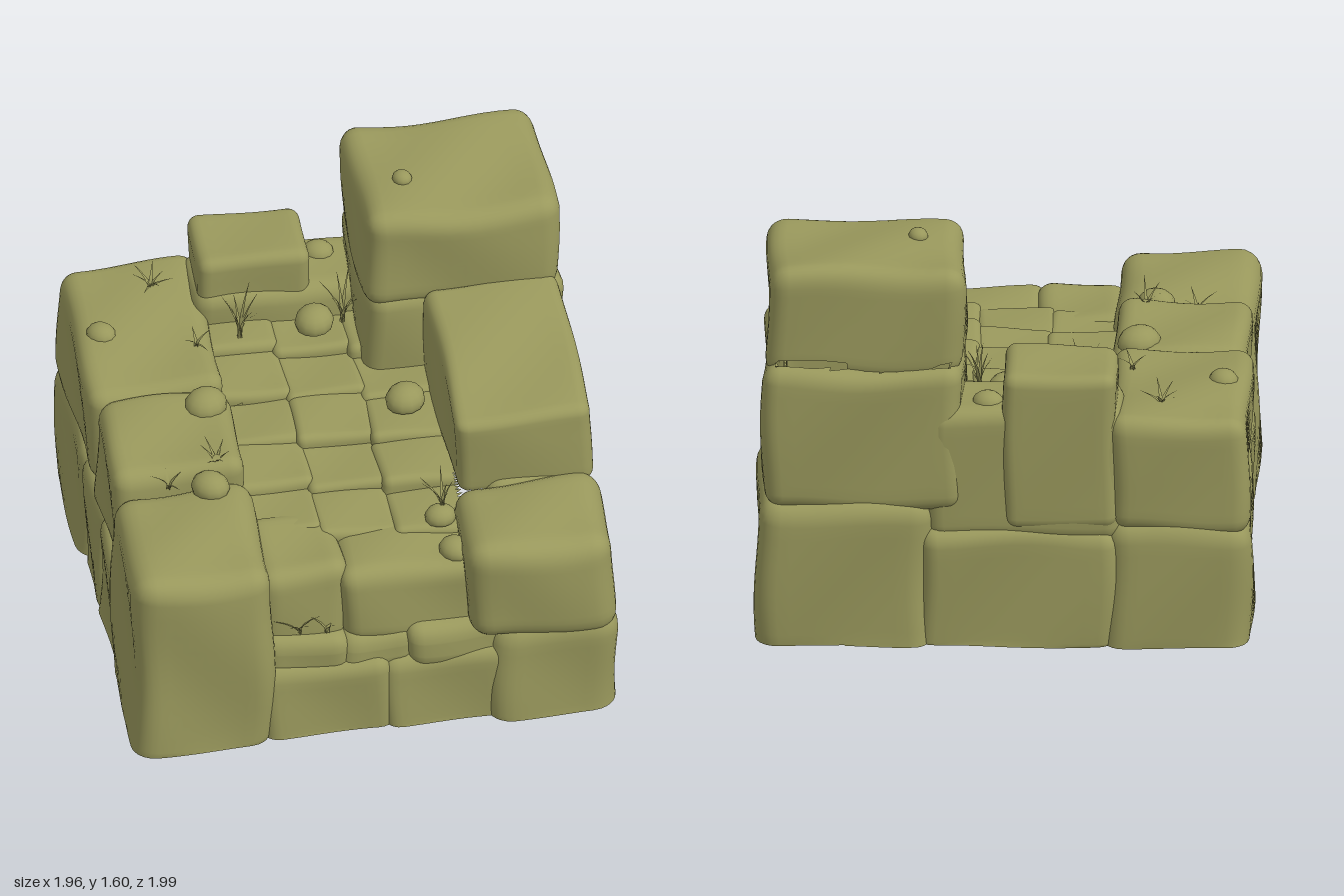
import * as THREE from 'three';
import { mergeVertices } from 'three/addons/utils/BufferGeometryUtils.js';

export function createModel() {
  const root = new THREE.Group();
  root.name = 'stoneTerrace';
  const stone = new THREE.MeshStandardMaterial({ color: 0x99985c, side: THREE.DoubleSide });
  stone.name = 'mossy stone';

  let seed = 7;
  const rand = () => {
    seed = (seed * 16807) % 2147483647;
    return seed / 2147483647;
  };
  const add = (parent, geo, name) => {
    const mesh = new THREE.Mesh(geo, stone);
    mesh.name = name;
    parent.add(mesh);
    return mesh;
  };
  const group = (name) => {
    const g = new THREE.Group();
    g.name = name;
    root.add(g);
    return g;
  };

  // Paving rows: height and front edge, climbing to the back
  const rows = [0, 1, 2, 3, 4].map((i) => ({ top: 0.74 + i * 0.034, front: 0.6 - i * 0.255 }));

  // Hollow inside of the shell: stone surfaces within these boxes are left out
  const hollow = [
    [[-0.9, 0.9], 0.32, [-0.9, 0.88]],
    [[-0.92, -0.47], 0.77, [-0.92, 0.93]],
    [[-0.9, -0.48], 0.87, [-0.92, 0.26]],
    [[-0.9, -0.48], 0.9, [-0.92, -0.2]],
    [[-0.5, 0.47], 0.38, [-0.9, 0.86]],
    [[-0.5, 0.45], 0.66, [-0.9, 0.8]],
    ...rows.map(({ top, front }) => [[-0.5, 0.45], top - 0.05, [-0.9, front - 0.02]]),
    [[0.46, 0.88], 0.77, [0.4, 0.91]],
    [[0.4, 0.84], 0.78, [-0.4, 0.6]],
    [[0.44, 0.87], 1.08, [-0.4, 0.46]],
    [[0.21, 0.89], 1.2, [-0.9, -0.33]],
    [[0.21, 0.87], 1.5, [-0.84, -0.33]],
    [[-0.39, -0.05], 1.1, [-0.91, -0.67]],
    [[-0.42, 0.25], 0.95, [-0.9, -0.66]],
  ].map(([x, top, z]) => new THREE.Box3(
    new THREE.Vector3(x[0], -0.2, z[0]), new THREE.Vector3(x[1], top, z[1])));

  function openInside(geo) {
    const pos = geo.attributes.position;
    const idx = geo.index.array;
    const kept = [];
    const a = new THREE.Vector3(), b = new THREE.Vector3();
    for (let i = 0; i < idx.length; i += 3) {
      a.set(0, 0, 0);
      for (let k = 0; k < 3; k++) a.add(b.fromBufferAttribute(pos, idx[i + k]));
      a.divideScalar(3);
      if (a.y > 0.001 && !hollow.some((h) => h.containsPoint(a))) kept.push(idx[i], idx[i + 1], idx[i + 2]);
    }
    geo.setIndex(kept);
  }

  // Worn block: rounded box with soft dents; slope raises the top towards the back.
  // Blocks that start below the ground are cut off flat at y = 0
  function block(parent, name, [x0, x1], [y0, y1], [z0, z1], { r = 0.07, slope = 0, wear = 0.01 } = {}) {
    const half = new THREE.Vector3(x1 - x0, y1 - y0, z1 - z0).multiplyScalar(0.5);
    const mid = new THREE.Vector3(x0 + x1, y0 + y1, z0 + z1).multiplyScalar(0.5);
    const rad = Math.min(r, half.x * 0.8, half.y * 0.8, half.z * 0.8);
    const box = new THREE.BoxGeometry(1, 1, 1, 16, 16, 16);
    box.deleteAttribute('normal');
    box.deleteAttribute('uv');
    const geo = mergeVertices(box);
    const pos = geo.attributes.position;
    const p = new THREE.Vector3(), inner = new THREE.Vector3();
    const lim = half.clone().subScalar(rad);
    const low = lim.clone().negate();
    const ph = [rand() * 6, rand() * 6, rand() * 6];
    // three rings of vertices go to each rounded edge
    const warp = (v, h) => {
      const k = Math.round(Math.abs(v) * 16);
      return Math.sign(v) * (k <= 5 ? (k / 5) * (h - rad) : h - rad + (rad * (k - 5)) / 3);
    };
    for (let i = 0; i < pos.count; i++) {
      p.fromBufferAttribute(pos, i);
      p.set(warp(p.x, half.x), warp(p.y, half.y), warp(p.z, half.z));
      inner.copy(p).clamp(low, lim);
      p.sub(inner).normalize().multiplyScalar(rad).add(inner);
      const tilt = slope * (-p.z / half.z) * 0.5 * Math.max(0, p.y / half.y);
      p.x += wear * Math.sin(p.y * 8 + p.z * 7 + ph[0]);
      p.z += wear * Math.sin(p.x * 8 + p.y * 7 + ph[1]);
      p.y += tilt + wear * Math.sin(p.x * 9 + p.z * 8 + ph[2]);
      p.add(mid);
      pos.setXYZ(i, p.x, Math.max(0, p.y), p.z);
    }
    geo.computeVertexNormals();
    openInside(geo);
    return add(parent, geo, name);
  }

  // Lower course
  const base = group('lowerWall');
  [
    ['frontLeftColumn', [-0.975, -0.42], 0.83, [0.32, 0.985], { r: 0.09 }],
    ['frontBase', [-0.47, 0.06], 0.33, [0.5, 0.95]],
    ['frontBase', [0.02, 0.54], 0.33, [0.5, 0.95]],
    ['frontCorner', [0.44, 0.955], 0.45, [0.34, 0.985], { r: 0.1 }],
    ['rightBase', [0.5, 0.94], 0.44, [-0.1, 0.38]],
    ['rightBase', [0.5, 0.93], 0.46, [-0.32, -0.06]],
    ['backRightCorner', [0.28, 0.97], 0.61, [-0.985, -0.27], { r: 0.09 }],
    ['backBase', [-0.45, 0.33], 0.5, [-0.975, -0.6]],
    ['backLeftCorner', [-0.975, -0.4], 0.53, [-0.98, -0.33], { r: 0.09 }],
    ['leftBase', [-0.96, -0.5], 0.5, [-0.37, 0.02]],
    ['leftBase', [-0.96, -0.5], 0.47, [-0.03, 0.38]],
  ].forEach(([n, x, top, z, o]) => block(base, n, x, [-0.15, top], z, o));

  // Middle and upper courses
  const upper = group('upperStones');
  [
    ['frontRightStone', [0.355, 0.94], [0.37, 0.83], [0.48, 0.985], { r: 0.09 }],
    ['rightMiddle', [0.5, 0.89], [0.36, 0.84], [0.08, 0.54]],
    ['rightMiddle', [0.5, 0.92], [0.36, 0.84], [-0.31, 0.13]],
    ['slopedStone', [0.385, 0.925], [0.76, 1.165], [-0.3, 0.51], { r: 0.05, slope: 0.09, wear: 0.007 }],
    ['towerMiddle', [0.16, 0.945], [0.56, 1.17], [-0.955, -0.27]],
    ['towerTop', [0.155, 0.93], [1.11, 1.565], [-0.9, -0.265], { r: 0.08, slope: 0.05 }],
    ['backStone', [-0.445, 0.0], [0.5, 1.165], [-0.965, -0.62], { r: 0.05, wear: 0.006 }],
    ['backFiller', [-0.47, 0.3], [0.44, 1.01], [-0.95, -0.6], { wear: 0.006 }],
    ['backLeftStone', [-0.965, -0.42], [0.48, 0.955], [-0.965, -0.15], { slope: 0.05 }],
    ['leftStone', [-0.95, -0.42], [0.42, 0.91], [-0.18, 0.35]],
    ['frontLedge', [-0.47, -0.11], [0.25, 0.45], [0.6, 0.92]],
    ['frontLedge', [-0.15, 0.16], [0.25, 0.44], [0.6, 0.92]],
    ['frontLedge', [0.12, 0.58], [0.25, 0.46], [0.6, 0.93]],
    ['frontMiddle', [-0.47, -0.11], [0.36, 0.74], [0.45, 0.86]],
    ['frontMiddle', [-0.14, 0.44], [0.36, 0.71], [0.45, 0.88]],
  ].forEach((b) => block(upper, ...b));

  // Paving
  const path = group('pavedPath');
  const cols = [-0.45, -0.17, 0.12, 0.43];
  rows.forEach((row) => {
    for (let c = 0; c < 3; c++) {
      const top = row.top + (rand() - 0.5) * 0.025;
      const z = row.front + (c - 1) * 0.04;
      block(path, 'pavingStone', [cols[c] - 0.015, cols[c + 1] + 0.015], [top - 0.2, top],
        [z - 0.275, z + 0.015], { r: 0.035, wear: 0.007 });
    }
  });

  // Loose rounded pebbles: x, y, z, size
  const pebbles = group('pebbles');
  [
    [-0.52, 0.9, -0.07, 0.085], [-0.58, 0.85, 0.39, 0.075], [0.27, 0.85, -0.04, 0.08],
    [-0.01, 0.91, -0.52, 0.08], [0.33, 0.71, 0.77, 0.065], [0.3, 0.75, 0.6, 0.06],
    [-0.86, 0.95, -0.52, 0.06], [0.34, 1.57, -0.52, 0.04], [0.06, 1.0, -0.84, 0.06],
  ].forEach(([x, y, z, s]) => {
    const m = add(pebbles, new THREE.SphereGeometry(s, 12, 6, 0, Math.PI * 2, 0, 1.9), 'pebble');
    m.position.set(x, y, z);
    m.scale.set(1.05, 0.8, 0.95);
    m.rotation.y = rand() * 6;
  });

  // Grass tufts: curved tapering blades around a root; x, y, z, height, blades
  const grass = group('grassTufts');
  function blade(h, lean) {
    const geo = new THREE.PlaneGeometry(0.022, h, 1, 4);
    const pos = geo.attributes.position;
    for (let i = 0; i < pos.count; i++) {
      const t = pos.getY(i) / h + 0.5;
      pos.setXYZ(i, pos.getX(i) * (1 - t * 0.95), t * h, lean * t * t);
    }
    geo.computeVertexNormals();
    return geo;
  }
  [
    [-0.62, 0.96, -0.77, 0.08, 7], [-0.31, 0.88, -0.5, 0.23, 8], [0.1, 0.9, -0.51, 0.22, 8],
    [-0.54, 0.87, 0.29, 0.12, 6], [-0.74, 0.83, 0.35, 0.1, 4], [0.31, 0.78, 0.59, 0.15, 7],
    [-0.31, 0.45, 0.87, 0.11, 7], [-0.2, 0.45, 0.88, 0.1, 3], [-0.5, 0.94, -0.4, 0.06, 4],
  ].forEach(([x, y, z, h, n]) => {
    const tuft = new THREE.Group();
    tuft.name = 'grassTuft';
    tuft.position.set(x, y, z);
    for (let i = 0; i < n; i++) {
      const b = add(tuft, blade(h * (0.6 + rand() * 0.4), 0.04 + rand() * 0.07), 'grassBlade');
      b.rotation.y = (i / n) * Math.PI * 2 + rand() * 0.5;
    }
    grass.add(tuft);
  });

  return root;
}
